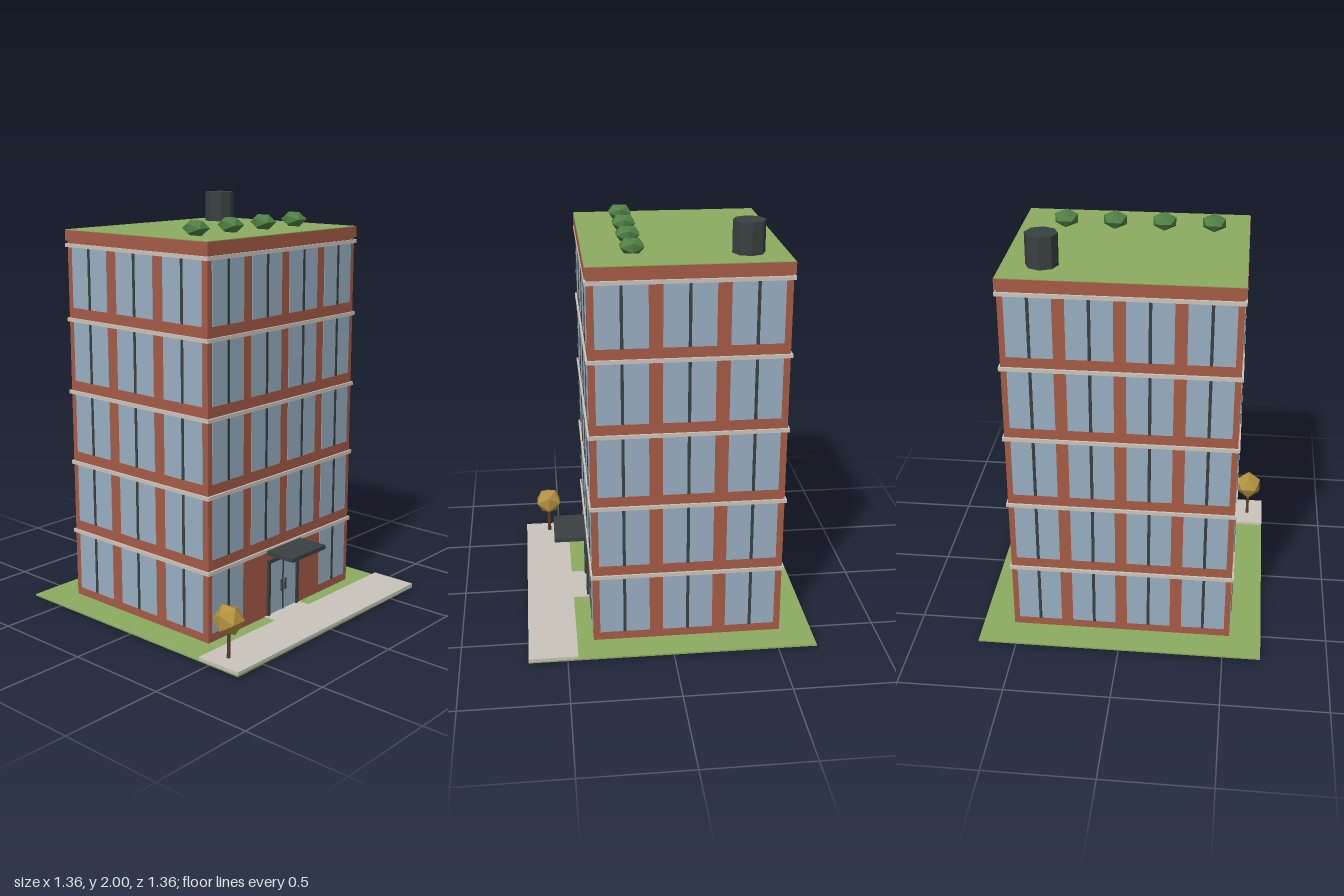
import * as THREE from 'three';

const mat = (name, color, flatShading = false) => {
  const m = new THREE.MeshStandardMaterial({ color, flatShading });
  m.name = name;
  return m;
};

export function createModel() {
  const model = new THREE.Group();
  model.name = 'apartmentBlock';

  const brick = mat('brick', 0xa65b46);
  const glass = mat('glass', 0x98afc1);
  const stone = mat('stone', 0xcac4bb);
  const dark = mat('darkMetal', 0x3a4042, true);
  const grass = mat('grass', 0x8bac60);
  const shrubGreen = mat('shrubGreen', 0x4f8045, true);
  const gold = mat('autumnLeaf', 0xb3923f, true);
  const bark = mat('bark', 0x5c4030);

  const add = (name, geo, material, x, y, z, parent = model) => {
    const m = new THREE.Mesh(geo, material);
    m.name = name;
    m.position.set(x, y, z);
    parent.add(m);
    return m;
  };
  // Box given by its size, centre and bottom height
  const box = (name, material, w, h, d, x, y0, z, parent) =>
    add(name, new THREE.BoxGeometry(w, h, d), material, x, y0 + h / 2, z, parent);

  const W = 1.06, D = 0.9, CZ = -0.08;
  const FLOORS = 5, STOREY = 0.356;

  // Site
  box('lawn', grass, 1.364, 0.008, 1.364, 0, 0.008, 0);
  box('pavement', stone, 1.364, 0.018, 0.232, 0, 0.012, 0.566);
  box('doorStep', stone, 0.26, 0.02, 0.1, 0, 0, 0.417);

  // Building shell
  box('walls', brick, W, 1.79, D, 0, 0.015, CZ);
  box('parapet', brick, W + 0.016, 0.05, D + 0.016, 0, 1.8, CZ);
  box('greenRoof', grass, W + 0.012, 0.004, D + 0.012, 0, 1.849, CZ);
  for (let i = 0; i < FLOORS; i++) {
    box('floorBand', stone, W + 0.018, 0.018, D + 0.018, 0, 0.346 + i * STOREY, CZ);
  }

  // Windows: each wall is a group whose +z points outwards
  const addWall = (name, angle, x, z, length, bays, hasDoor) => {
    const wall = new THREE.Group();
    wall.name = name;
    wall.position.set(x, 0, z);
    wall.rotation.y = angle;
    model.add(wall);
    const pitch = length / bays;
    for (let f = 0; f < FLOORS; f++) {
      for (let b = 0; b < bays; b++) {
        if (hasDoor && f === 0 && b > 0 && b < bays - 1) continue;
        const bx = (b - (bays - 1) / 2) * pitch;
        const y0 = 0.058 + f * STOREY;
        box('windowPane', glass, pitch * 0.79, 0.29, 0.006, bx, y0, 0, wall);
        box('windowMullion', dark, 0.014, 0.29, 0.012, bx, y0, 0, wall);
      }
    }
  };
  addWall('frontWindows', 0, 0, CZ + D / 2, W, 4, true);
  addWall('backWindows', Math.PI, 0, CZ - D / 2, W, 4, false);
  addWall('leftWindows', Math.PI / 2, W / 2, CZ, D, 3, false);
  addWall('rightWindows', -Math.PI / 2, -W / 2, CZ, D, 3, false);

  // Entrance
  const door = new THREE.Group();
  door.name = 'entrance';
  door.position.z = CZ + D / 2;
  model.add(door);
  box('doorGlass', glass, 0.2, 0.265, 0.008, 0, 0.022, 0, door);
  box('doorHead', dark, 0.232, 0.018, 0.024, 0, 0.286, 0, door);
  box('doorCentre', dark, 0.008, 0.265, 0.014, 0, 0.022, 0, door);
  for (const s of [-1, 1]) {
    box('doorJamb', dark, 0.016, 0.284, 0.024, s * 0.108, 0.02, 0, door);
    box('doorHandle', dark, 0.005, 0.06, 0.01, s * 0.015, 0.12, 0.008, door);
  }
  box('canopy', dark, 0.254, 0.02, 0.168, 0, 0.336, 0.082, door);

  // Roof tank
  add('roofTank', new THREE.CylinderGeometry(0.074, 0.074, 0.15, 8), dark, 0.357, 1.925, -0.36);

  // Roof shrubs
  for (let i = 0; i < 4; i++) {
    const shrub = add('roofShrub', new THREE.IcosahedronGeometry(0.063, 0), shrubGreen,
      -0.37 + i * 0.232, 1.887, 0.155);
    shrub.rotation.y = Math.PI / 2;
    shrub.scale.y = 0.65;
  }

  // Street tree
  add('treeTrunk', new THREE.CylinderGeometry(0.008, 0.009, 0.15, 6), bark, -0.6, 0.1, 0.555);
  const crown = add('treeCrown', new THREE.IcosahedronGeometry(0.073, 0), gold, -0.6, 0.212, 0.555);
  crown.rotation.y = Math.PI / 2;

  return model;
}
